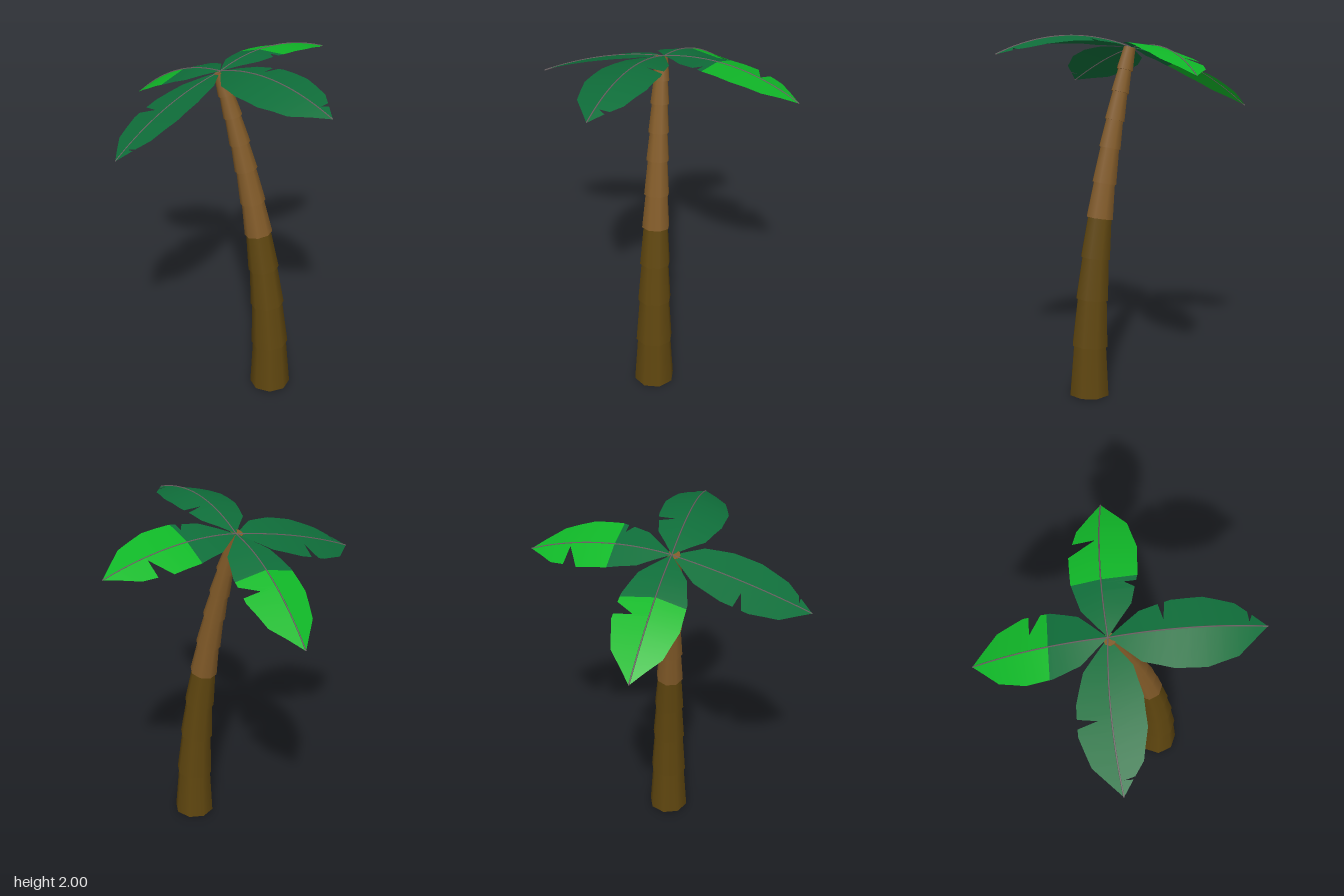
import * as THREE from 'three';

const mat = (name, color, side = THREE.FrontSide) => {
  const m = new THREE.MeshStandardMaterial({ color, side });
  m.name = name;
  return m;
};

// Half width of a leaf at even steps from stem to tip
const PROFILE = [0, 0.72, 0.97, 1, 0.75, 0];

// Each leaf arches from base to tip, given as [along, across, height].
// Sides have a width, a slope from rib to edge, and notches [start, deep, end, kept width].
// Past "cut" the leaf is bright.
const LEAVES = [
  {
    name: 'leftLeaf', place: (a, b, y) => [a, y, b],
    base: [-0.046, 0.012, 1.92], tip: [0.745, 0, 1.915], rise: 0.08, bend: 0.011,
    sides: [
      { sign: -1, width: 0.165, slope: -0.08, notches: [[0.32, 0.347, 0.362, 0.38], [0.874, 0.882, 0.903, 0.3]] },
      { sign: 1, width: 0.19, slope: -0.3, notches: [] },
    ],
  },
  {
    name: 'rightLeaf', place: (a, b, y) => [-a, y, b], cut: 0.425,
    base: [0.046, 0.012, 1.92], tip: [0.75, -0.016, 1.565], rise: 0.068, bend: 0.008,
    sides: [
      { sign: -1, width: 0.192, slope: -0.12, notches: [[0.47, 0.568, 0.558, 0.4]] },
      { sign: 1, width: 0.165, slope: -0.28, notches: [] },
    ],
  },
  {
    name: 'backLeaf', place: (a, b, y) => [b, y, -a], cut: 0.389,
    base: [-0.012, -0.046, 1.92], tip: [0.764, -0.038, 1.845], rise: 0.063, bend: -0.021,
    sides: [
      { sign: -1, width: 0.158, slope: -0.38, notches: [[0.6, 0.695, 0.7, 0.15]] },
      { sign: 1, width: 0.19, slope: 0.15, notches: [[0.312, 0.37, 0.354, 0.52]] },
    ],
  },
  {
    name: 'frontLeaf', place: (a, b, y) => [b, y, a],
    base: [0.012, -0.046, 1.918], tip: [0.756, -0.014, 1.665], rise: 0.032, bend: -0.023,
    sides: [
      { sign: -1, width: 0.172, slope: -0.35, notches: [[0.49, 0.52, 0.55, 0.4]] },
      { sign: 1, width: 0.17, slope: 0.25, notches: [[0.885, 0.9, 0.903, 0.3]] },
    ],
  },
];

// Point on the arched rib, t from 0 to 1
function ribAt({ base, tip, rise, bend }, t) {
  const [a, b, y] = base.map((v, k) => THREE.MathUtils.lerp(v, tip[k], t));
  const arch = 4 * t * (1 - t);
  return [a, b + bend * arch, y + rise * arch];
}

function profileAt(t) {
  const i = Math.min(Math.floor(t * 5), 4);
  return THREE.MathUtils.lerp(PROFILE[i], PROFILE[i + 1], t * 5 - i);
}

// Outline of one leaf side as [t, kept width], with its notches cut in
function outline(notches, cut) {
  let pts = Array.from({ length: 11 }, (_, i) => [i / 10, 1]);
  if (cut) pts = [...pts, [cut, 1]].sort((p, q) => p[0] - q[0]);
  for (const [start, deep, end, keep] of notches) {
    pts = [
      ...pts.filter(p => p[0] < start),
      [start, 1], [deep, keep], [end, 1],
      ...pts.filter(p => p[0] > Math.max(deep, end)),
    ];
  }
  return pts;
}

// Sheet between the rib and one stretch of the outline
function sheet(leaf, side, pts) {
  const pos = [], index = [];
  pts.forEach(([t, keep], i) => {
    const [a, b, y] = ribAt(leaf, t);
    const w = side.width * profileAt(t) * keep;
    pos.push(...leaf.place(a, b, y), ...leaf.place(a, b + side.sign * w, y + side.slope * w));
    if (i) index.push(2 * i - 2, 2 * i - 1, 2 * i, 2 * i - 1, 2 * i + 1, 2 * i);
  });
  const g = new THREE.BufferGeometry();
  g.setAttribute('position', new THREE.Float32BufferAttribute(pos, 3));
  g.setIndex(index);
  g.computeVertexNormals();
  // Turn the faces upward
  if (g.attributes.normal.getY(3) < 0) {
    g.setIndex(index.reverse());
    g.computeVertexNormals();
  }
  return g;
}

export function createModel() {
  const model = new THREE.Group();
  model.name = 'palmTree';
  const darkBark = mat('darkBark', 0x5f460f);
  const lightBark = mat('lightBark', 0x815a28);
  const darkGreen = mat('darkGreen', 0x0f6e3a, THREE.DoubleSide);
  const brightGreen = mat('brightGreen', 0x10b828, THREE.DoubleSide);
  const ribGrey = mat('ribGrey', 0x6e6466);

  const add = (parent, name, geometry, material) => {
    const mesh = new THREE.Mesh(geometry, material);
    mesh.name = name;
    parent.add(mesh);
    return mesh;
  };

  // Trunk of overlapping tapered segments along a leaning parabola
  const trunk = new THREE.Group();
  trunk.name = 'trunk';
  model.add(trunk);
  const heights = [0, 0.285, 0.55, 0.78, 1, 1.19, 1.38, 1.53, 1.68, 1.8, 1.91];
  const center = y => new THREE.Vector3(0.265 - 0.082 * y * y, y, -0.092 + 0.031 * y * y);
  const radius = y => 0.115 - 0.0375 * y;
  const up = new THREE.Vector3(0, 1, 0);
  for (let i = 0; i < heights.length - 1; i++) {
    const start = center(heights[i]);
    const dir = center(heights[i + 1]).sub(start);
    const len = dir.length() + 0.01;
    dir.normalize();
    const geometry = new THREE.CylinderGeometry(radius(heights[i + 1]) - 0.009, radius(heights[i]), len, 8);
    const segment = add(trunk, 'trunkSegment', geometry, i < 4 ? darkBark : lightBark);
    segment.quaternion.setFromUnitVectors(up, dir);
    segment.position.copy(start).addScaledVector(dir, len / 2);
  }

  // Leaves, each with two blades and a thin midrib
  for (const leaf of LEAVES) {
    const group = new THREE.Group();
    group.name = leaf.name;
    model.add(group);
    for (const side of leaf.sides) {
      const pts = outline(side.notches, leaf.cut);
      const split = leaf.cut ? pts.findIndex(p => p[0] === leaf.cut) : pts.length - 1;
      add(group, 'leafBlade', sheet(leaf, side, pts.slice(0, split + 1)), darkGreen);
      if (leaf.cut) add(group, 'leafTip', sheet(leaf, side, pts.slice(split)), brightGreen);
    }
    const path = new THREE.CatmullRomCurve3(Array.from({ length: 11 }, (_, i) =>
      new THREE.Vector3(...leaf.place(...ribAt(leaf, i / 10)))));
    add(group, 'midrib', new THREE.TubeGeometry(path, 20, 0.004, 4), ribGrey);
  }
  return model;
}
